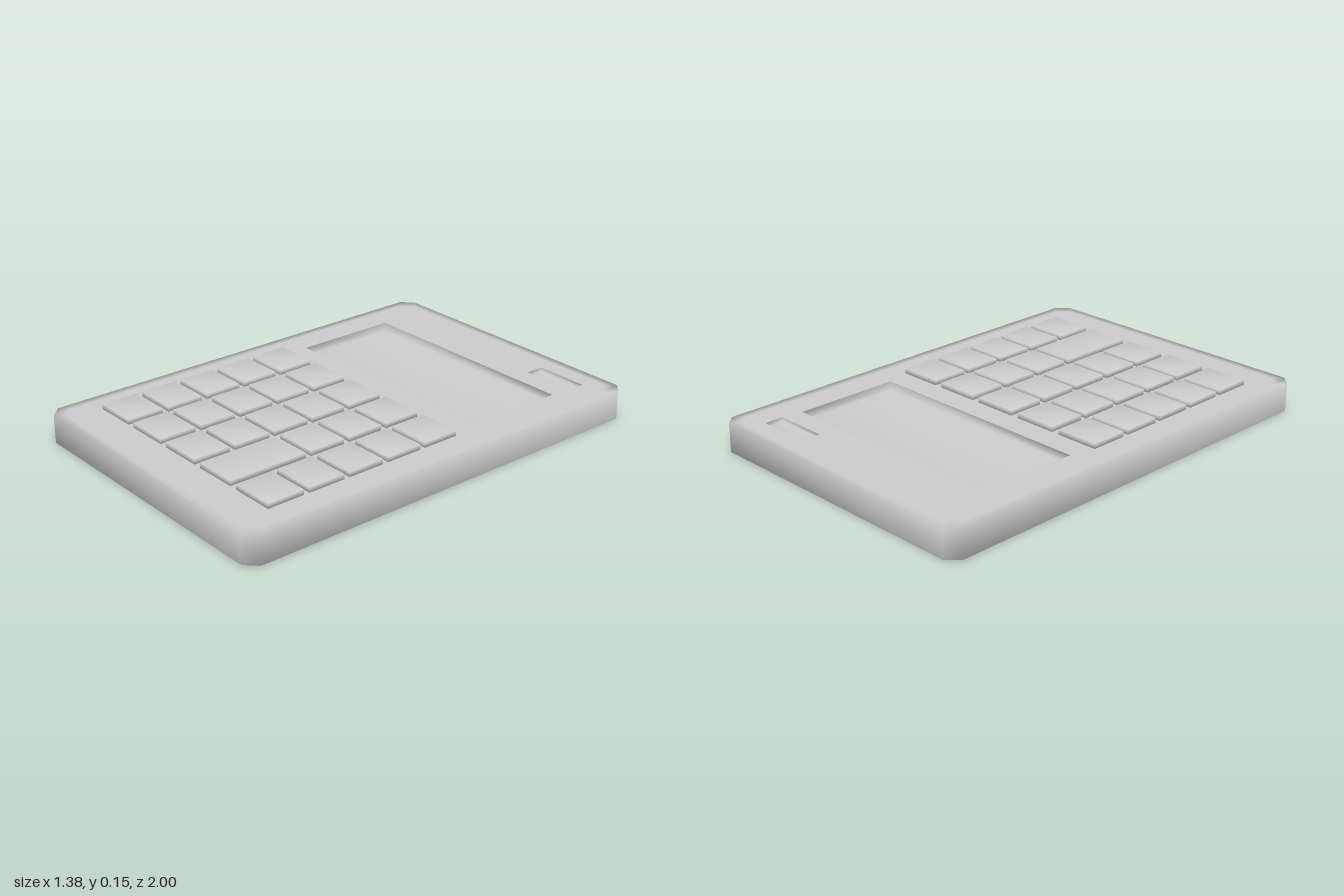
import * as THREE from 'three';
import { mergeVertices } from 'three/addons/utils/BufferGeometryUtils.js';

const material = new THREE.MeshStandardMaterial({ color: 0xcccccc });
const HALF_X = 0.69, HALF_Z = 1, HEIGHT = 0.125, CORNER = 0.05, RIM = 0.04;

function addMesh(group, geometry, name) {
  const mesh = new THREE.Mesh(geometry, material);
  mesh.name = name;
  group.add(mesh);
}

// Rectangle with cut corners, pulled in by an inset
function outline(inset) {
  const x = HALF_X - inset, z = HALF_Z - inset, c = CORNER;
  return [[x, c - z], [x, z - c], [x - c, z], [c - x, z],
    [-x, z - c], [-x, c - z], [c - x, -z], [x - c, -z]];
}

// Smooth band that joins outlines stacked as [inset, y], from the bottom up
function bandGeometry(levels) {
  const positions = [], index = [];
  levels.forEach(([inset, y], k) => {
    outline(inset).forEach(([x, z], i) => {
      positions.push(x, y, z);
      if (k === levels.length - 1) return;
      const a = k * 8 + i, b = k * 8 + (i + 1) % 8;
      index.push(a, a + 8, b + 8, a, b + 8, b);
    });
  });
  const g = new THREE.BufferGeometry();
  g.setAttribute('position', new THREE.Float32BufferAttribute(positions, 3));
  g.setIndex(index);
  g.computeVertexNormals();
  return g;
}

// Box given by its limits, with corners shared so that it shades softly
function softBox([x0, x1], [y0, y1], [z0, z1], sunken = false) {
  const g = new THREE.BoxGeometry(x1 - x0, y1 - y0, z1 - z0);
  g.translate((x0 + x1) / 2, (y0 + y1) / 2, (z0 + z1) / 2);
  // A sunken box has no lid and faces inwards
  if (sunken) g.setIndex(Array.from(g.index.array).filter((_, i) => i < 12 || i > 17).reverse());
  g.deleteAttribute('normal');
  g.deleteAttribute('uv');
  const soft = mergeVertices(g);
  soft.computeVertexNormals();
  return soft;
}

export function createModel() {
  const model = new THREE.Group();
  model.name = 'calculator';

  // Recesses in the top face
  const recesses = [
    { name: 'screenRecess', x: [-0.535, 0.53], z: [-0.715, -0.24], depth: 0.04 },
    { name: 'smallWindow', x: [0.3, 0.545], z: [-0.89, -0.805], depth: 0.02 },
  ];

  // Casing: side band, top plate with openings, base plate
  const casing = new THREE.Group();
  casing.name = 'casing';
  model.add(casing);
  addMesh(casing, bandGeometry([[RIM, 0], [0, 0], [0, HEIGHT], [RIM, HEIGHT]]), 'casingSides');

  const plate = () => new THREE.Shape(outline(RIM).map(([x, z]) => new THREE.Vector2(x, -z)));
  const top = plate();
  for (const { x, z } of recesses) {
    const corners = [[x[0], -z[0]], [x[1], -z[0]], [x[1], -z[1]], [x[0], -z[1]]];
    top.holes.push(new THREE.Path(corners.map(([u, v]) => new THREE.Vector2(u, v))));
  }
  addMesh(casing, new THREE.ShapeGeometry(top).rotateX(-Math.PI / 2).translate(0, HEIGHT, 0), 'topPlate');
  addMesh(casing, new THREE.ShapeGeometry(plate()).rotateX(Math.PI / 2), 'basePlate');

  for (const { name, x, z, depth } of recesses) {
    addMesh(model, softBox(x, [HEIGHT - depth, HEIGHT], z, true), name);
  }

  // Keys in a five by five grid; one key spans the last two rows
  const keys = new THREE.Group();
  keys.name = 'keys';
  model.add(keys);
  for (let row = 0; row < 5; row++) {
    for (let col = 0; col < 5; col++) {
      if (col === 3 && row === 4) continue;
      const tall = col === 3 && row === 3;
      const x = -0.564 + col * 0.231, z = -0.131 + row * 0.194;
      const depth = tall ? 0.362 : 0.168;
      addMesh(keys, softBox([x, x + 0.195], [0.122, 0.148], [z, z + depth]), tall ? 'tallKey' : 'key');
    }
  }
  return model;
}
